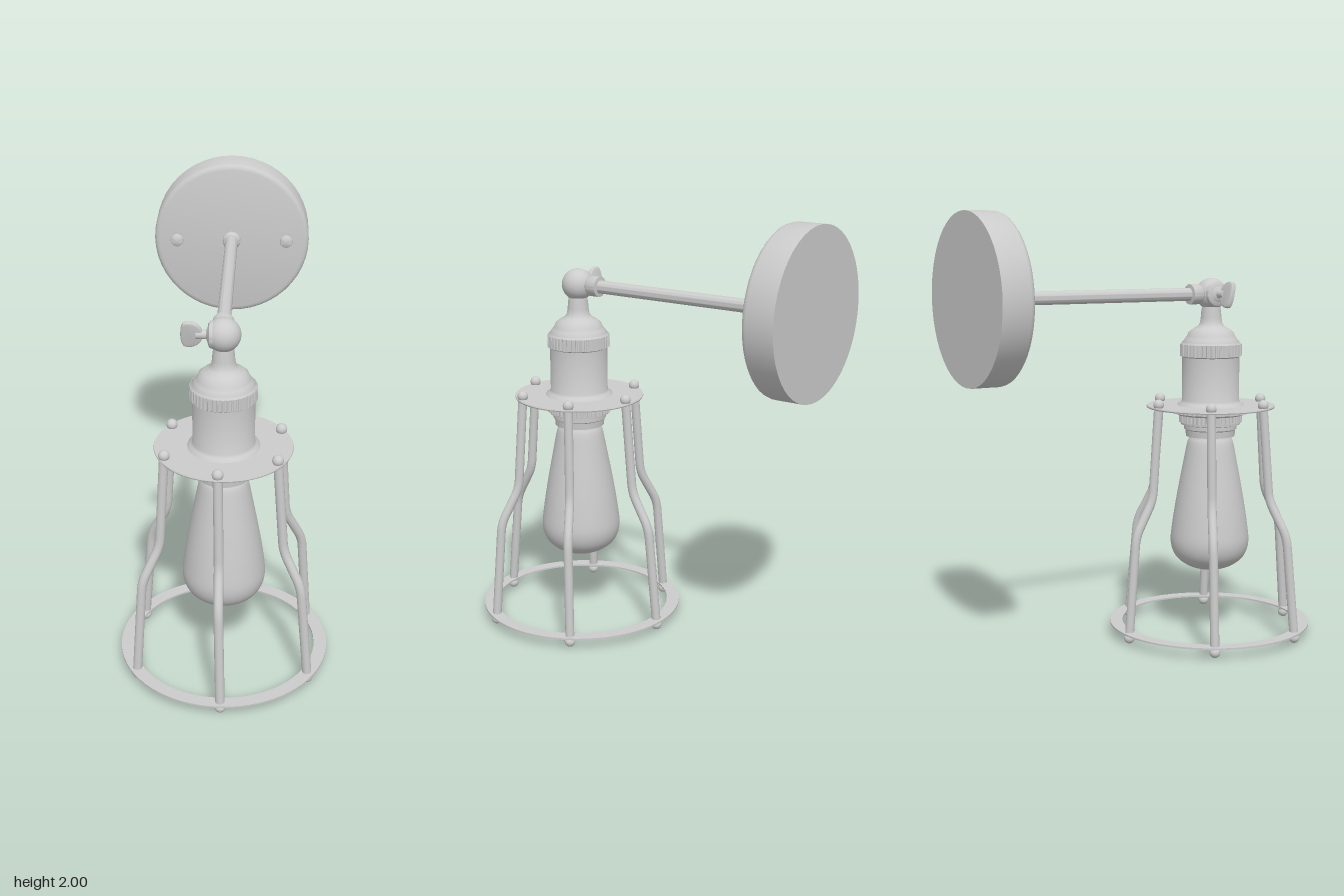
import * as THREE from 'three';
import { toCreasedNormals } from 'three/addons/utils/BufferGeometryUtils.js';

const material = new THREE.MeshStandardMaterial({ color: 0xcccccc, side: THREE.DoubleSide });
const LAMP_Z = 0.385, ARM_Y = 1.627;

function add(parent, name, geometry, x = 0, y = 0, z = 0) {
  const mesh = new THREE.Mesh(geometry, material);
  mesh.name = name;
  mesh.position.set(x, y, z);
  parent.add(mesh);
  return mesh;
}

// Turned part; profile of [radius, height] from bottom to top
function turned(profile, segments = 48) {
  const g = new THREE.LatheGeometry(profile.map(([r, h]) => new THREE.Vector2(r, h)), segments);
  return toCreasedNormals(g, 0.6);
}

// Toothed ring standing on y = 0
function knurled(radius, depth, height, teeth) {
  const pts = [];
  for (let i = 0; i < teeth * 4; i++) {
    const a = (i / (teeth * 4)) * Math.PI * 2;
    const r = i % 4 < 2 ? radius : radius - depth;
    pts.push(new THREE.Vector2(Math.cos(a) * r, Math.sin(a) * r));
  }
  const g = new THREE.ExtrudeGeometry(new THREE.Shape(pts), { depth: height, bevelEnabled: false });
  return g.rotateX(-Math.PI / 2);
}

export function createModel() {
  const model = new THREE.Group();
  model.name = 'wallLamp';

  // Wall mount: canopy, screws and arm, all turned about z
  const mount = new THREE.Group();
  mount.name = 'wallMount';
  mount.position.set(-0.005, ARM_Y, 0);
  model.add(mount);
  const alongZ = (name, profile, x = 0) =>
    add(mount, name, turned(profile).rotateX(Math.PI / 2), x);
  alongZ('canopy', [[0, -0.863], [0.375, -0.863], [0.375, -0.735], [0.371, -0.722], [0.362, -0.714], [0.35, -0.711], [0, -0.711]]);
  for (const side of [-1, 1]) {
    alongZ('canopyScrew', [[0.024, -0.715], [0.024, -0.7], [0.031, -0.7], [0.029, -0.691], [0.018, -0.685], [0, -0.684]], side * 0.265);
  }
  alongZ('armFlange', [[0.043, -0.715], [0.043, -0.698], [0.036, -0.688], [0.03, -0.686]]);
  alongZ('arm', [[0.03, -0.71], [0.03, 0.29]]);
  alongZ('armCollar', [[0.03, 0.258], [0.047, 0.26], [0.047, 0.308], [0.042, 0.316], [0.025, 0.335]]);

  const lamp = new THREE.Group();
  lamp.name = 'lamp';
  lamp.position.z = LAMP_Z;
  model.add(lamp);

  // Swivel joint with wing screw
  add(lamp, 'swivelBall', new THREE.SphereGeometry(0.074, 40, 28), 0, ARM_Y, 0);
  const hub = turned([[0.054, 0], [0.06, 0.045], [0.056, 0.058], [0.044, 0.064], [0, 0.065]]);
  add(lamp, 'swivelHub', hub.rotateZ(Math.PI / 2), 0, ARM_Y, 0);
  add(lamp, 'wingScrewStem', new THREE.CylinderGeometry(0.02, 0.02, 0.06, 20).rotateZ(Math.PI / 2), -0.085, ARM_Y, 0);
  const wing = new THREE.Shape();
  wing.moveTo(0.025, -0.02);
  wing.bezierCurveTo(0.005, -0.06, -0.03, -0.055, -0.04, -0.05);
  wing.bezierCurveTo(-0.053, -0.03, -0.053, 0.03, -0.04, 0.05);
  wing.bezierCurveTo(-0.03, 0.055, 0.005, 0.06, 0.025, 0.02);
  wing.closePath();
  const wingGeo = new THREE.ExtrudeGeometry(wing, { depth: 0.012, bevelSize: 0.008, bevelThickness: 0.006, bevelSegments: 3, curveSegments: 10 });
  const wingMesh = add(lamp, 'wingScrew', toCreasedNormals(wingGeo.translate(0, 0, -0.006), 0.6), -0.122, ARM_Y, 0);
  wingMesh.rotation.x = 0.2;

  // Socket: neck, bell cap, knurled ring, body and stepped threads
  add(lamp, 'socketNeck', turned([
    [0.138, 1.385], [0.136, 1.4], [0.122, 1.418], [0.113, 1.43], [0.108, 1.445], [0.088, 1.462],
    [0.064, 1.475], [0.053, 1.49], [0.049, 1.515], [0.047, 1.54], [0.042, 1.575],
  ]));
  add(lamp, 'socketRing', knurled(0.146, 0.006, 0.056, 44), 0, 1.336, 0);
  add(lamp, 'socketRingLip', turned([[0.13, 1.327], [0.142, 1.336], [0.142, 1.392], [0.136, 1.4]]));
  add(lamp, 'socketBody', turned([
    [0.16, 1.1], [0.156, 1.108], [0.142, 1.116], [0.135, 1.128], [0.135, 1.335],
  ]));
  add(lamp, 'lockRing', knurled(0.187, 0.005, 0.028, 48), 0, 1.068, 0);
  add(lamp, 'lockRingStep', turned([[0.1, 1.058], [0.158, 1.058], [0.172, 1.07], [0.172, 1.095]]));
  add(lamp, 'lowerRing', knurled(0.15, 0.004, 0.035, 44), 0, 1.022, 0);
  add(lamp, 'socketMouth', turned([
    [0.09, 0.955], [0.116, 0.955], [0.118, 0.985], [0.125, 0.99], [0.125, 1.008], [0.14, 1.012], [0.143, 1.06],
  ]));

  // Bulb
  const bulbCurve = new THREE.SplineCurve([
    [0, 0.31], [0.06, 0.313], [0.115, 0.333], [0.165, 0.375], [0.187, 0.44], [0.18, 0.53],
    [0.158, 0.67], [0.128, 0.83], [0.11, 0.92], [0.098, 0.948], [0.09, 0.965],
  ].map(([r, h]) => new THREE.Vector2(r, h)));
  const bulbPoints = bulbCurve.getPoints(44);
  bulbPoints[0].x = 0;
  add(lamp, 'bulb', new THREE.LatheGeometry(bulbPoints, 48));

  // Cage: top disc, open bottom ring and six bent rods
  add(lamp, 'cageTopDisc', turned([
    [0.13, 1.093], [0.302, 1.093], [0.304, 1.098], [0.302, 1.103], [0.13, 1.103],
  ], 64));
  add(lamp, 'cageBottomRing', turned([
    [0.42, 0.047], [0.48, 0.047], [0.48, 0.055], [0.42, 0.055], [0.42, 0.047],
  ], 72));

  const TWIST = 0.05;
  const rodPoint = (r, y, twist) => new THREE.Vector3(-Math.sin(twist) * r, y, Math.cos(twist) * r);
  const top = rodPoint(0.28, 1.115, TWIST), upper = rodPoint(0.314, 0.67, TWIST * 0.6);
  const lower = rodPoint(0.405, 0.505, TWIST * 0.4), foot = rodPoint(0.447, 0.03, 0);
  const near = (a, b, d) => a.clone().add(b.clone().sub(a).setLength(d));
  const rodPath = new THREE.CurvePath();
  rodPath.add(new THREE.LineCurve3(top, near(upper, top, 0.045)));
  rodPath.add(new THREE.QuadraticBezierCurve3(near(upper, top, 0.045), upper, near(upper, lower, 0.045)));
  rodPath.add(new THREE.LineCurve3(near(upper, lower, 0.045), near(lower, upper, 0.045)));
  rodPath.add(new THREE.QuadraticBezierCurve3(near(lower, upper, 0.045), lower, near(lower, foot, 0.045)));
  rodPath.add(new THREE.LineCurve3(near(lower, foot, 0.045), foot));
  const rodGeo = new THREE.TubeGeometry(rodPath, 60, 0.021, 14);
  const nutGeo = new THREE.SphereGeometry(0.025, 18, 12);
  for (let i = 0; i < 6; i++) {
    const rod = new THREE.Group();
    rod.name = 'cageRod' + (i + 1);
    rod.rotation.y = (i * Math.PI) / 3;
    lamp.add(rod);
    add(rod, 'rod', rodGeo);
    add(rod, 'topNut', nutGeo, top.x, 1.117, top.z);
    add(rod, 'footNut', nutGeo, foot.x, 0.026, foot.z);
  }
  return model;
}
